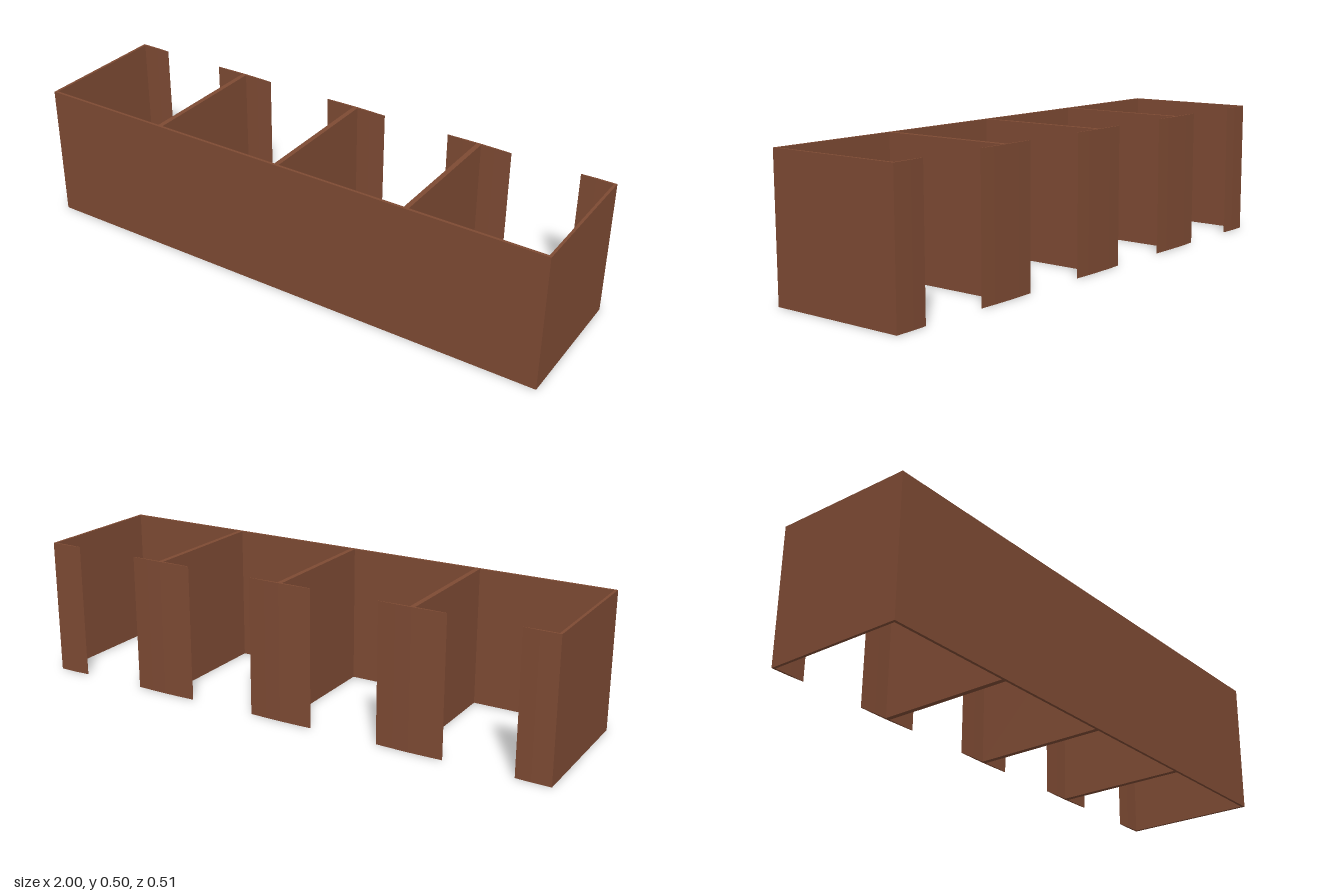
import * as THREE from 'three';

const HEIGHT = 0.503, DEPTH = 0.257, PANEL = 0.01;

export function createModel() {
  const group = new THREE.Group();
  const material = new THREE.MeshStandardMaterial({ color: 0x7d4a33, flatShading: true });

  // Upright panel between two x and two z limits
  function panel(name, x0, x1, z0, z1) {
    const mesh = new THREE.Mesh(new THREE.BoxGeometry(x1 - x0, HEIGHT, z1 - z0), material);
    mesh.position.set((x0 + x1) / 2, HEIGHT / 2, (z0 + z1) / 2);
    mesh.name = name;
    group.add(mesh);
  }

  // Thin upright lip with an outline in x and z, thinning towards its free edges
  function lip(name, points) {
    const shape = new THREE.Shape(points.map(([x, z]) => new THREE.Vector2(x, -z)));
    const geometry = new THREE.ExtrudeGeometry(shape, { depth: HEIGHT, bevelEnabled: false });
    geometry.rotateX(-Math.PI / 2);
    const mesh = new THREE.Mesh(geometry, material);
    mesh.name = name;
    group.add(mesh);
  }

  const outer = -DEPTH, inner = -DEPTH + 0.007, tip = -DEPTH + 0.003;

  // Long closed front wall
  panel('frontWall', -1, 1, DEPTH - PANEL, DEPTH);

  // End walls with a short lip turned inwards
  for (const side of [-1, 1]) {
    const edges = [side, side * (1 - PANEL)].sort((a, b) => a - b);
    panel(side > 0 ? 'leftEndWall' : 'rightEndWall', edges[0], edges[1], outer, DEPTH - PANEL);
    lip(side > 0 ? 'leftEndLip' : 'rightEndLip', [
      [side * (1 - PANEL), outer], [side * 0.93, outer], [side * 0.875, tip],
      [side * 0.875, tip + 0.002], [side * 0.93, inner], [side * (1 - PANEL), inner],
    ]);
  }

  // Dividers, each ending in a lip that spreads to both sides
  for (const x of [-0.5, 0, 0.5]) {
    panel('divider', x - 0.009, x + 0.009, inner, DEPTH - PANEL);
    lip('dividerLip', [
      [x - 0.122, tip], [x - 0.06, outer + 0.001], [x, outer], [x + 0.06, outer + 0.001],
      [x + 0.122, tip], [x + 0.122, tip + 0.002], [x + 0.06, inner], [x - 0.06, inner],
      [x - 0.122, tip + 0.002],
    ]);
  }

  return group;
}
